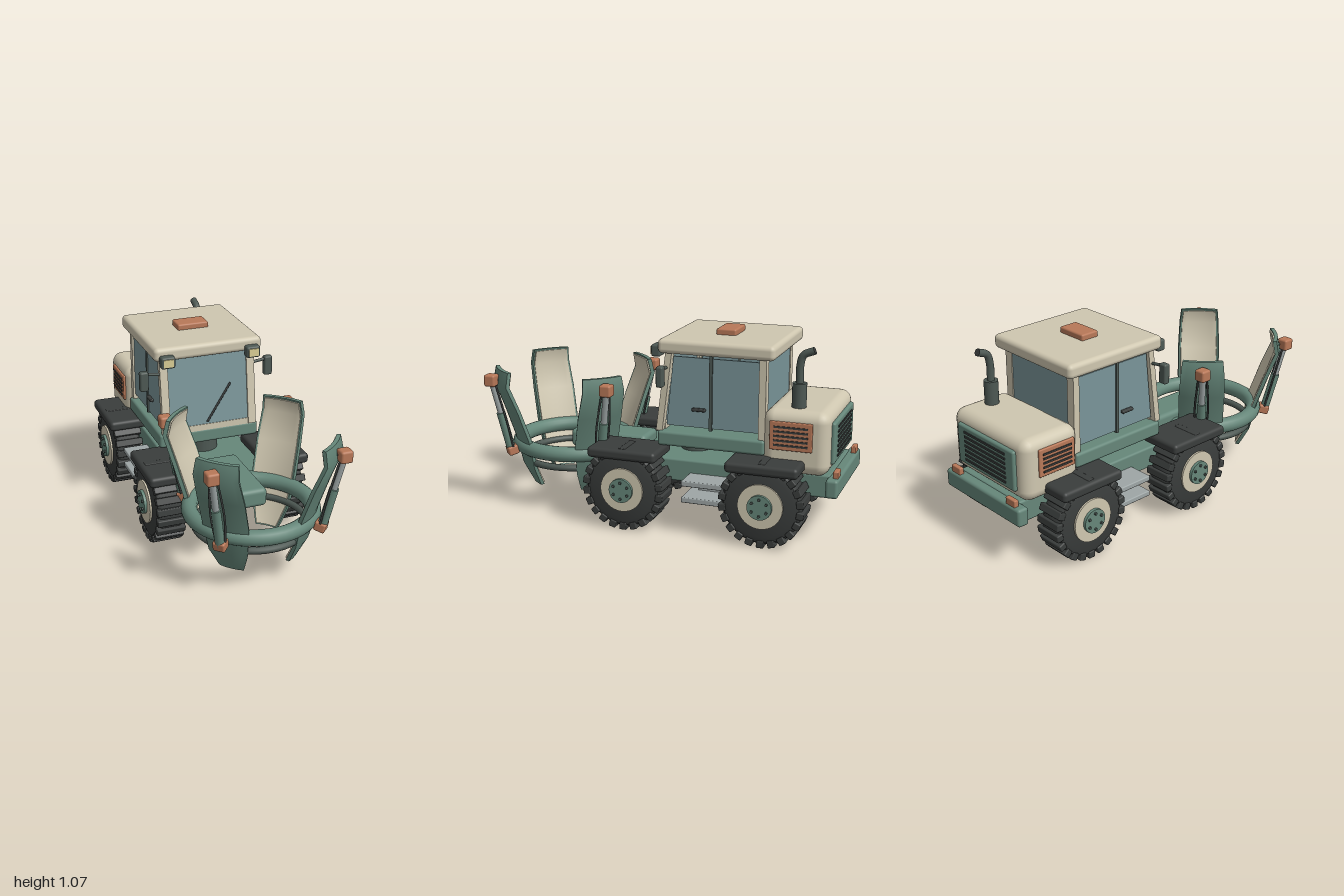
import * as THREE from 'three';
import { toCreasedNormals } from 'three/addons/utils/BufferGeometryUtils.js';
import { RoundedBoxGeometry } from 'three/addons/geometries/RoundedBoxGeometry.js';

const mat = (color) => new THREE.MeshStandardMaterial({ color });
const green = mat(0x66877a), beige = mat(0xcfc7b0), black = mat(0x3a3d3c), dark = mat(0x4d5853);
const orange = mat(0xb87858), glass = mat(0x7a9599), steel = mat(0x9ea6a6), lens = mat(0xd9cd94);
const V = (x, y, z) => new THREE.Vector3(x, y, z);

function add(parent, name, geometry, material, x = 0, y = 0, z = 0) {
  const m = new THREE.Mesh(geometry, material);
  m.name = name;
  m.position.set(x, y, z);
  parent.add(m);
  return m;
}

// Box given by its min and max on each axis; r rounds the edges
function block(parent, name, material, [x0, x1], [y0, y1], [z0, z1], r = 0) {
  const s = [x1 - x0, y1 - y0, z1 - z0];
  const g = r ? new RoundedBoxGeometry(...s, 3, r) : new THREE.BoxGeometry(...s);
  return add(parent, name, g, material, (x0 + x1) / 2, (y0 + y1) / 2, (z0 + z1) / 2);
}

// Round bar between two points
function rod(parent, name, material, a, b, r, sides = 16) {
  const d = b.clone().sub(a);
  const m = add(parent, name, new THREE.CylinderGeometry(r, r, d.length(), sides), material);
  m.position.copy(a).addScaledVector(d, 0.5);
  m.quaternion.setFromUnitVectors(V(0, 1, 0), d.normalize());
  return m;
}

// Curved plate around the y axis; levels hold [y, radius, half angle]
function curvedPlate(levels, inset, thickness, widthScale = 1) {
  const n = 9, loop = 2 * n, pos = [], idx = [];
  for (const [y, r, h] of levels) {
    for (let k = 0; k < loop; k++) {
      const outer = k < n, t = (outer ? k : loop - 1 - k) / (n - 1);
      const a = (2 * t - 1) * h * widthScale, q = r - inset - (outer ? 0 : thickness);
      pos.push(q * Math.sin(a), y, q * Math.cos(a));
    }
  }
  for (let i = 0; i < levels.length - 1; i++) {
    for (let k = 0; k < loop; k++) {
      const a = i * loop + k, b = i * loop + (k + 1) % loop;
      idx.push(a, b, b + loop, a, b + loop, a + loop);
    }
  }
  const top = (levels.length - 1) * loop;
  for (let k = 0; k < n - 1; k++) {
    const [a, b, c, d] = [k, k + 1, loop - 2 - k, loop - 1 - k];
    idx.push(top + a, top + b, top + c, top + a, top + c, top + d, a, c, b, a, d, c);
  }
  const g = new THREE.BufferGeometry();
  g.setAttribute('position', new THREE.Float32BufferAttribute(pos, 3));
  g.setIndex(idx);
  return toCreasedNormals(g, 0.6);
}

// Wheel with its outer face towards +x
function makeWheel() {
  const w = new THREE.Group();
  const profile = [[0, -0.08], [0.17, -0.08], [0.2, -0.07], [0.213, -0.05], [0.213, 0.05], [0.2, 0.07], [0.17, 0.08], [0, 0.08]];
  const tire = new THREE.LatheGeometry(profile.map((p) => new THREE.Vector2(...p)), 44);
  add(w, 'tire', toCreasedNormals(tire, 0.6), black).rotation.z = -Math.PI / 2;
  const lug = new RoundedBoxGeometry(0.162, 0.04, 0.04, 1, 0.006);
  for (let i = 0; i < 22; i++) {
    const a = (i / 22) * Math.PI * 2;
    add(w, 'treadLug', lug, black, 0, 0.209 * Math.cos(a), 0.209 * Math.sin(a)).rotation.x = a;
  }
  rod(w, 'rim', beige, V(0, 0, 0), V(0.09, 0, 0), 0.12, 36);
  rod(w, 'hub', green, V(0.05, 0, 0), V(0.106, 0, 0), 0.066, 28);
  for (let i = 0; i < 6; i++) {
    const a = (i / 6) * Math.PI * 2, y = 0.045 * Math.cos(a), z = 0.045 * Math.sin(a);
    rod(w, 'wheelBolt', dark, V(0.1, y, z), V(0.115, y, z), 0.008, 6);
  }
  return w;
}

// Gripper arm facing +z, with its hydraulic cylinder
function makeClaw() {
  const c = new THREE.Group();
  const levels = [[0.12, 0.253, 0.27], [0.23, 0.31, 0.35], [0.4, 0.35, 0.37], [0.57, 0.405, 0.32], [0.72, 0.46, 0.265], [0.8, 0.443, 0.255]];
  add(c, 'clawPlate', curvedPlate(levels, 0, 0.022), green);
  const inner = levels.map(([y, r, h]) => [0.46 + (y - 0.46) * 0.97, r, h]);
  add(c, 'clawLiner', curvedPlate(inner, 0.016, 0.012, 0.92), beige);
  const bottom = V(0, 0.33, 0.39), top = V(0, 0.745, 0.489), mid = bottom.clone().lerp(top, 0.54);
  rod(c, 'ramBarrel', green, bottom, mid, 0.025);
  rod(c, 'ramRod', steel, mid, top, 0.018);
  for (const s of [-1, 1]) {
    const path = new THREE.CatmullRomCurve3([V(s * 0.025, 0.34, 0.385), V(s * 0.037, 0.5, 0.42), V(s * 0.022, 0.73, 0.475)]);
    add(c, 'ramHose', new THREE.TubeGeometry(path, 14, 0.006, 6), black);
  }
  const cap = new RoundedBoxGeometry(0.066, 0.066, 0.066, 2, 0.012);
  add(c, 'ramTopBracket', cap, orange, 0, 0.745, 0.489).rotation.y = Math.PI / 4;
  add(c, 'ramFootBracket', new RoundedBoxGeometry(0.066, 0.052, 0.06, 2, 0.01), orange, 0, 0.332, 0.385).rotation.x = 0.23;
  rod(c, 'topBracketPin', dark, V(0, 0.745, 0.43), V(0, 0.745, 0.48), 0.016);
  return c;
}

export function createModel() {
  const model = new THREE.Group();
  model.name = 'forestryTractor';

  // Chassis and rear bumper
  block(model, 'chassis', green, [-0.25, 0.25], [0.25, 0.375], [-0.95, 0.1], 0.012);
  const nose = new THREE.Shape([[-0.25, -0.08], [0.25, -0.08], [0.25, -0.14], [0.15, -0.3], [-0.15, -0.3], [-0.25, -0.14]].map((p) => new THREE.Vector2(...p)));
  add(model, 'frontChassis', new THREE.ExtrudeGeometry(nose, { depth: 0.125, bevelEnabled: false }), green, 0, 0.25, 0).rotation.x = -Math.PI / 2;
  block(model, 'rearBumper', green, [-0.31, 0.31], [0.27, 0.37], [-1, -0.935], 0.016);
  rod(model, 'cabPedestal', dark, V(0, 0.37, -0.14), V(0, 0.46, -0.14), 0.085, 28);
  block(model, 'frontArm', green, [-0.1, 0.1], [0.33, 0.433], [0.13, 0.585], 0.025);

  // Gripper
  const gripper = new THREE.Group();
  gripper.name = 'gripper';
  gripper.position.z = 0.597;
  model.add(gripper);
  add(gripper, 'upperRing', new THREE.TorusGeometry(0.32, 0.043, 16, 56), green, 0, 0.35, 0).rotation.x = Math.PI / 2;
  add(gripper, 'lowerRing', new THREE.TorusGeometry(0.295, 0.019, 12, 56), dark, 0, 0.263, 0).rotation.x = Math.PI / 2;
  for (let i = 0; i < 4; i++) {
    const claw = makeClaw();
    claw.name = 'claw';
    claw.rotation.y = Math.PI / 4 + i * Math.PI / 2;
    gripper.add(claw);
  }

  // Cab
  const cab = new THREE.Group();
  cab.name = 'cab';
  model.add(cab);
  block(cab, 'cabFloor', green, [-0.29, 0.29], [0.455, 0.535], [-0.605, -0.015], 0.015);
  block(cab, 'roof', beige, [-0.31, 0.31], [0.96, 1.037], [-0.655, -0.022], 0.025);
  block(cab, 'roofBeacon', orange, [-0.09, 0.09], [1.03, 1.069], [-0.385, -0.275], 0.01);
  const lean = (mesh) => { mesh.rotation.x = -0.125; return mesh; };
  lean(add(cab, 'windshield', new THREE.BoxGeometry(0.46, 0.4, 0.012), glass, 0, 0.757, -0.045));
  block(cab, 'windshieldSill', beige, [-0.24, 0.24], [0.53, 0.566], [-0.045, -0.012]);
  rod(cab, 'wiper', black, V(-0.015, 0.58, -0.01), V(0.13, 0.785, -0.036), 0.006, 8);
  block(cab, 'rearWindow', glass, [-0.24, 0.24], [0.57, 0.96], [-0.6, -0.588]);
  block(cab, 'rearSill', beige, [-0.24, 0.24], [0.53, 0.57], [-0.605, -0.575]);
  const pane = new THREE.Shape([[-0.06, 0.566], [-0.57, 0.566], [-0.57, 0.942], [-0.098, 0.942]].map(([z, y]) => new THREE.Vector2(-z, y)));
  const paneGeo = new THREE.ExtrudeGeometry(pane, { depth: 0.012, bevelEnabled: false });

  for (const s of [-1, 1]) {
    const bx = (p, name, m, [a, b], y, z, r) => block(p, name, m, s > 0 ? [a, b] : [-b, -a], y, z, r);

    // Pillars, side windows and door
    lean(add(cab, 'frontPillar', new THREE.BoxGeometry(0.045, 0.435, 0.035), beige, s * 0.252, 0.748, -0.047));
    bx(cab, 'rearPillar', beige, [0.225, 0.275], [0.53, 0.97], [-0.605, -0.567]);
    add(cab, 'sideWindow', paneGeo, glass, s * 0.258 - 0.006, 0, 0).rotation.y = Math.PI / 2;
    bx(cab, 'windowDivider', dark, [0.25, 0.272], [0.555, 0.962], [-0.315, -0.298]);
    bx(cab, 'doorHandle', black, [0.262, 0.285], [0.657, 0.674], [-0.28, -0.205], 0.006);

    // Work lights and mirrors
    bx(cab, 'lightHousing', dark, [0.205, 0.285], [0.935, 1], [-0.03, 0.022], 0.012);
    bx(cab, 'lightLens', lens, [0.217, 0.273], [0.946, 0.989], [0.01, 0.027]);
    bx(cab, 'mirror', dark, [0.338, 0.386], [0.795, 0.906], [-0.08, -0.042], 0.01);
    rod(cab, 'mirrorArm', dark, V(s * 0.25, 0.876, -0.06), V(s * 0.35, 0.89, -0.06), 0.009, 8);

    // Hood side vent
    bx(model, 'sideVent', orange, [0.29, 0.316], [0.505, 0.656], [-0.862, -0.637], 0.006);
    for (let i = 0; i < 5; i++) {
      const y = 0.532 + i * 0.024;
      bx(model, 'sideVentSlat', black, [0.305, 0.321], [y - 0.005, y + 0.005], [-0.84, -0.66]);
    }

    // Wheels, fenders, steps and tail lamps
    for (const z of [0.134, -0.63]) {
      const wheel = makeWheel();
      wheel.name = z > 0 ? 'frontWheel' : 'rearWheel';
      wheel.position.set(s * 0.35, 0.23, z);
      if (s < 0) wheel.rotation.y = Math.PI;
      model.add(wheel);
      rod(model, 'axle', dark, V(0, 0.26, z), V(s * 0.3, 0.23, z), 0.03);
      bx(model, 'fender', black, [0.2, 0.456], [0.398, 0.456], [z - 0.195, z + 0.192], 0.02);
    }
    for (const y of [0.2, 0.29]) bx(model, 'step', steel, [0.22, 0.392], [y - 0.016, y + 0.014], [-0.41, -0.185], 0.006);
    bx(model, 'stepBracket', steel, [0.225, 0.25], [0.19, 0.3], [-0.36, -0.235]);
    bx(model, 'tailLamp', orange, [0.195, 0.27], [0.36, 0.405], [-0.992, -0.965], 0.006);
  }

  // Engine hood and rear grille
  block(model, 'hood', beige, [-0.305, 0.305], [0.372, 0.712], [-0.945, -0.595], 0.06);
  block(model, 'rearGrille', green, [-0.235, 0.235], [0.43, 0.652], [-0.964, -0.92], 0.012);
  for (let i = 0; i < 7; i++) {
    const y = 0.463 + i * 0.026;
    block(model, 'rearGrilleSlat', black, [-0.17, 0.17], [y - 0.006, y + 0.006], [-0.969, -0.955]);
  }

  // Exhaust
  rod(model, 'muffler', dark, V(0.2, 0.69, -0.762), V(0.2, 0.84, -0.762), 0.038, 24);
  const pipe = new THREE.CatmullRomCurve3([V(0.2, 0.83, -0.762), V(0.2, 0.93, -0.762), V(0.2, 0.985, -0.778), V(0.2, 1.012, -0.835)]);
  add(model, 'exhaustPipe', new THREE.TubeGeometry(pipe, 24, 0.02, 14), dark).material = dark;
  rod(model, 'exhaustTip', black, V(0.2, 1.008, -0.826), V(0.2, 1.0125, -0.836), 0.0195);
  return model;
}
